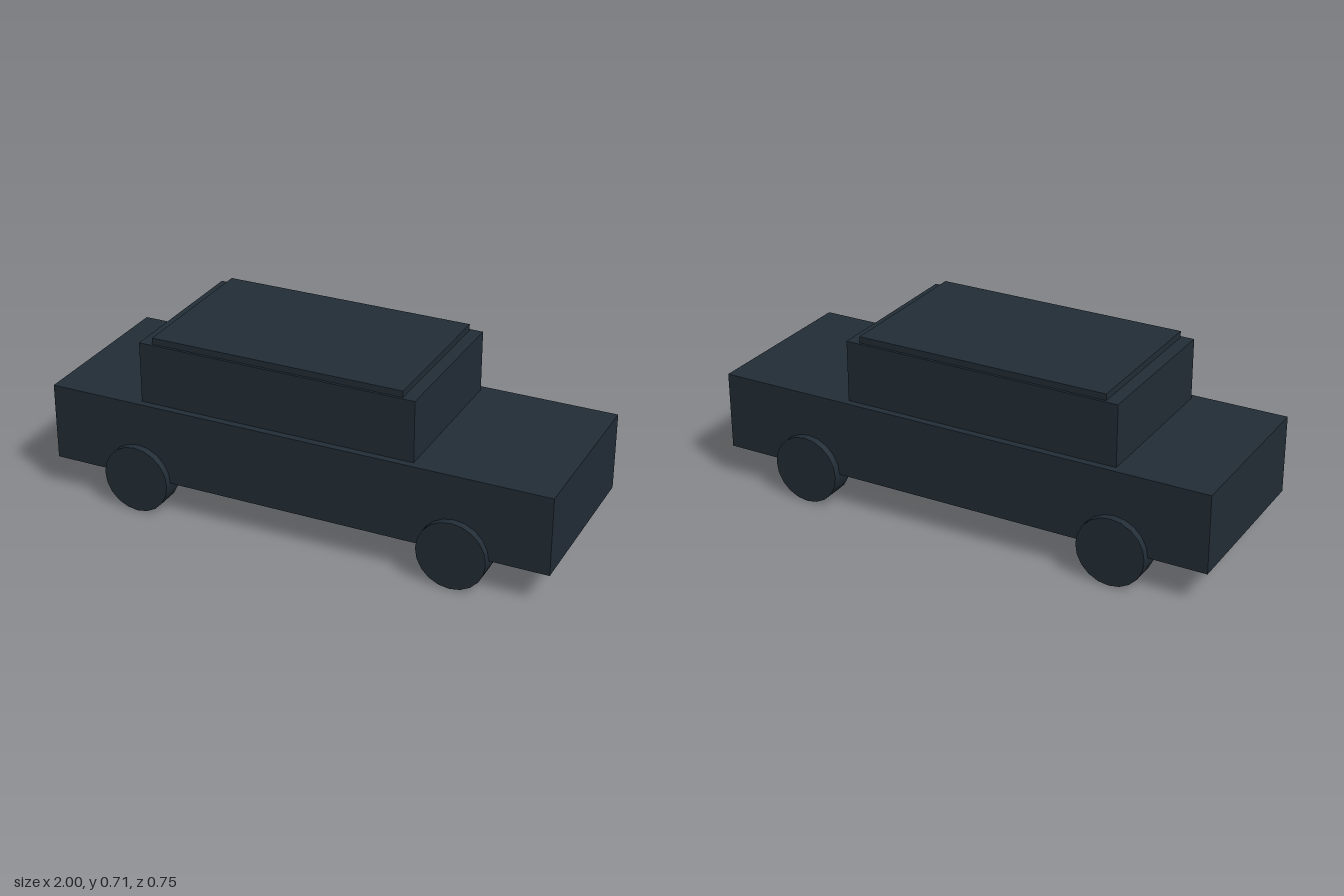
import * as THREE from 'three';

export function createModel() {
  const car = new THREE.Group();
  car.name = 'car';
  const paint = new THREE.MeshStandardMaterial({ color: 0x222d36 });
  paint.name = 'dark slate';

  // Box given by its x and y extents and half depth
  const box = (name, x0, x1, y0, y1, halfZ) => {
    const mesh = new THREE.Mesh(new THREE.BoxGeometry(x1 - x0, y1 - y0, halfZ * 2), paint);
    mesh.position.set((x0 + x1) / 2, (y0 + y1) / 2, 0);
    mesh.name = name;
    car.add(mesh);
  };
  box('body', -1, 1, 0.136, 0.442, 0.345);
  box('cabin', -0.63, 0.47, 0.442, 0.682, 0.317);
  box('roof', -0.58, 0.42, 0.682, 0.707, 0.307);

  // Four wheels, axles along z
  const wheelGeometry = new THREE.CylinderGeometry(0.134, 0.134, 0.095, 20).rotateX(Math.PI / 2);
  for (const [end, x] of [['Left', 0.64], ['Right', -0.64]]) {
    for (const [side, z] of [['front', 0.326], ['back', -0.326]]) {
      const wheel = new THREE.Mesh(wheelGeometry, paint);
      wheel.position.set(x, 0.135, z);
      wheel.name = `${side}${end}Wheel`;
      car.add(wheel);
    }
  }
  return car;
}
